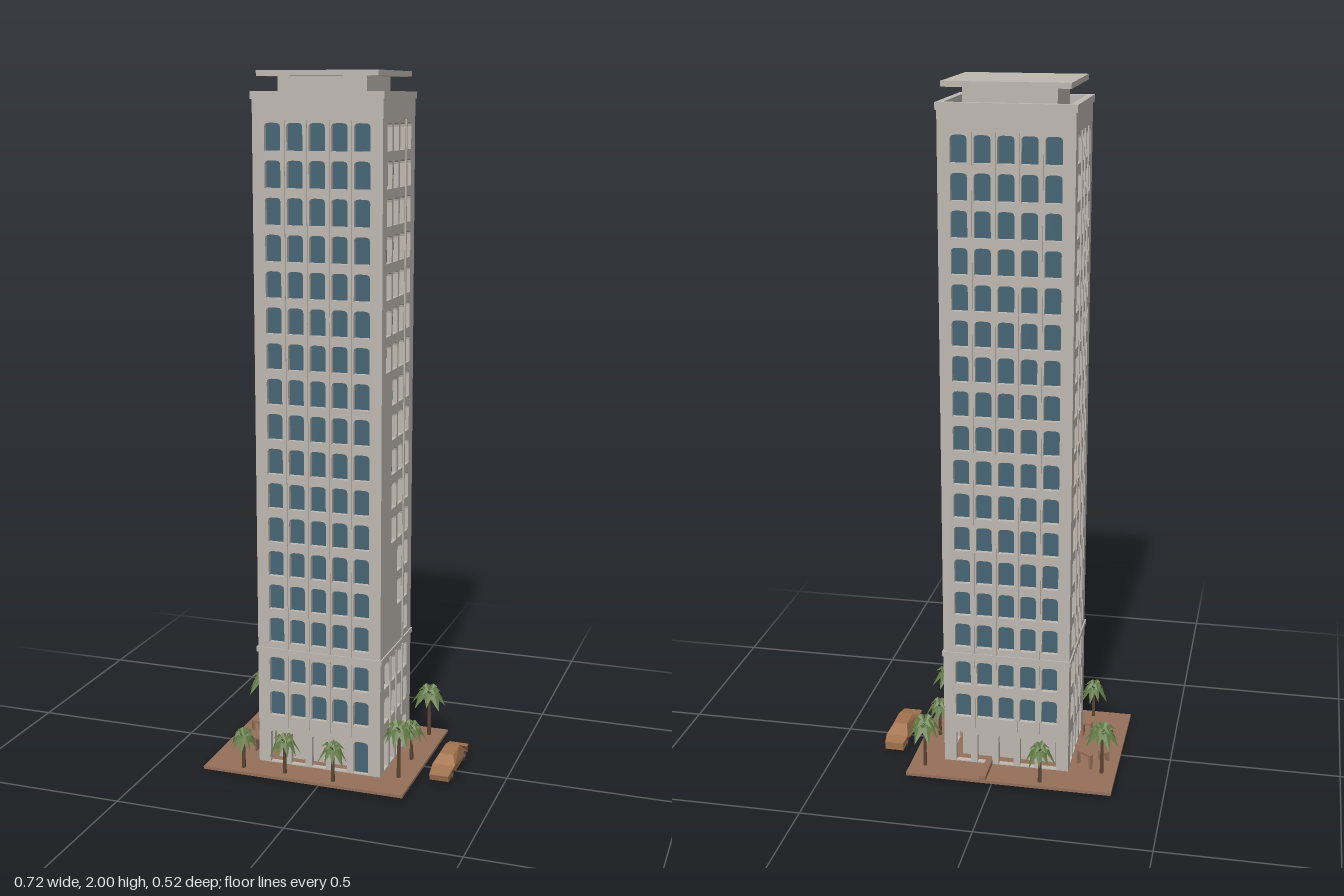
import * as THREE from 'three';
import { mergeGeometries } from 'three/addons/utils/BufferGeometryUtils.js';

const mat = (name, color, extra = {}) => {
  const m = new THREE.MeshStandardMaterial({ color, ...extra });
  m.name = name;
  return m;
};

export function createModel() {
  const model = new THREE.Group();
  model.name = 'tower';
  const stone = mat('stone', 0xbdb7af);
  const glass = mat('glass', 0x466474);
  const earth = mat('earth', 0x94705a);
  const paint = mat('carPaint', 0xa3744f, { flatShading: true });
  const leaf = mat('leaf', 0x627a46, { flatShading: true, side: THREE.DoubleSide });
  const bark = mat('bark', 0x5a4632, { flatShading: true });
  const dark = mat('dark', 0x3a2e26);

  const add = (name, geo, m, parent = model) => {
    const mesh = new THREE.Mesh(geo, m);
    mesh.name = name;
    parent.add(mesh);
    return mesh;
  };
  // box given by its limits
  const box = (name, m, x0, x1, y0, y1, z0, z1, parent) =>
    add(name, new THREE.BoxGeometry(x1 - x0, y1 - y0, z1 - z0)
      .translate((x0 + x1) / 2, (y0 + y1) / 2, (z0 + z1) / 2), m, parent);

  // ground
  box('groundPlate', earth, -0.352, 0.255, 0.006, 0.015, -0.25, 0.237);

  // tower limits
  const X0 = -0.212, X1 = 0.16, Z0 = -0.152, Z1 = 0.146, T = 0.016;
  const cx = (X0 + X1) / 2, cz = (Z0 + Z1) / 2, W = X1 - X0, D = Z1 - Z0;
  const around = (name, m, y0, y1, inset) =>
    box(name, m, X0 + inset, X1 - inset, y0, y1, Z0 + inset, Z1 - inset);

  around('groundFloorCore', stone, 0.015, 0.13, 0.045);
  around('lobbyCeiling', stone, 0.125, 0.14, 0.012);
  around('glassCore', glass, 0.14, 1.89, T - 0.002);
  around('roofDeck', stone, 1.885, 1.915, 0.01);

  // opening with a slightly arched head
  const opening = (x, y0, y1, w) => {
    const p = new THREE.Path(), h = w / 2, r = 0.011;
    p.moveTo(x - h, y0);
    p.lineTo(x + h, y0);
    p.lineTo(x + h, y1 - r);
    p.quadraticCurveTo(x + h, y1, x + h - r * 1.3, y1);
    p.lineTo(x - h + r * 1.3, y1);
    p.quadraticCurveTo(x - h, y1, x - h, y1 - r);
    return p;
  };

  const rows = [0.2, 0.305];
  for (let i = 0; i < 15; i++) rows.push(0.425 + i * 0.1);

  // one pierced wall, facing its own +z
  const facade = (name, width, cols, pitch, x, z, angle, blank = () => false) => {
    const g = new THREE.Group();
    g.name = name;
    const s = new THREE.Shape();
    s.moveTo(-width / 2, 0.012);
    s.lineTo(width / 2, 0.012);
    s.lineTo(width / 2, 1.935);
    s.lineTo(-width / 2, 1.935);
    s.closePath();
    for (let c = 0; c < cols; c++) {
      const u = (c - (cols - 1) / 2) * pitch;
      s.holes.push(opening(u, 0.018, 0.115, 0.044));
      for (const y of rows) {
        if (!blank(c, y)) s.holes.push(opening(u, y - 0.037, y + 0.037, 0.046));
      }
    }
    add('piercedWall', new THREE.ExtrudeGeometry(s, {
      depth: T, bevelEnabled: false, curveSegments: 3 }).translate(0, 0, -T), stone, g);
    // slim ribs on the piers
    for (let c = 1; c < cols; c++) {
      const u = (c - cols / 2) * pitch;
      if (!blank(c - 1, 0.5)) box('rib', stone, u - 0.004, u + 0.004, 0.37, 1.87, -0.002, 0.004, g);
      box('lowerRib', stone, u - 0.004, u + 0.004, 0.13, 0.35, -0.002, 0.004, g);
    }
    g.position.set(x, 0, z);
    g.rotation.y = angle;
    model.add(g);
  };
  const sideW = D - 2 * T;
  facade('frontFacade', W, 5, 0.064, cx, Z1, 0);
  facade('backFacade', W, 5, 0.064, cx, Z0, Math.PI);
  // this side is closed in a stepped area low down
  const closedBelow = [1.2, 0.7, 0.48, 0];
  facade('leftFacade', sideW, 4, 0.059, X1, cz, Math.PI / 2,
    (c, y) => y > 0.36 && y < closedBelow[c]);
  facade('rightFacade', sideW, 4, 0.059, X0, cz, -Math.PI / 2);

  // belt course and cornice rim, hollow in the middle
  const ring = (name, y0, y1, out, depth) => {
    const r = new THREE.Shape(), a = W / 2 + out, b = D / 2 + out;
    const rect = (p, u, v) => {
      p.moveTo(-u, -v); p.lineTo(u, -v); p.lineTo(u, v); p.lineTo(-u, v); p.closePath();
      return p;
    };
    rect(r, a, b);
    r.holes.push(rect(new THREE.Path(), a - depth, b - depth));
    add(name, new THREE.ExtrudeGeometry(r, { depth: y1 - y0, bevelEnabled: false })
      .rotateX(-Math.PI / 2).translate(cx, y0, cz), stone);
  };
  ring('beltCourse', 0.355, 0.37, 0.004, 0.012);
  ring('cornice', 1.925, 1.945, 0.004, 0.02);

  // roof house and its slab
  box('roofHouse', stone, -0.155, 0.1, 1.91, 1.985, -0.108, 0.1);
  box('roofSlab', stone, -0.199, 0.147, 1.985, 2, -0.158, 0.146);

  // ground floor details
  box('door', glass, 0.075, 0.125, 0.015, 0.115, Z1 - 0.02, Z1 - 0.012);
  box('backRamp', earth, 0.015, 0.034, 0.015, 0.03, -0.254, -0.15);

  // palm: tapered trunk under two tiers of folded leaves
  const frond = (len, lift, droop, turn) => {
    const w = len * 0.27;
    const p = [[0, 0, 0], [len * 0.5, lift, 0], [len, droop, 0],
      [len * 0.5, lift - w * 0.6, w], [len * 0.5, lift - w * 0.6, -w]];
    const g = new THREE.BufferGeometry();
    const idx = [0, 3, 1, 1, 3, 2, 0, 1, 4, 1, 2, 4];
    g.setAttribute('position', new THREE.Float32BufferAttribute(idx.flatMap(i => p[i]), 3));
    g.computeVertexNormals();
    return g.rotateY(turn);
  };
  const palm = (x, z, h, r, k) => {
    const g = new THREE.Group();
    g.name = 'palm';
    const y = h - 0.03;
    add('trunk', new THREE.CylinderGeometry(0.004, 0.006, y - 0.012, 6)
      .translate(0, (y + 0.012) / 2, 0), bark, g);
    const fronds = [];
    for (let i = 0; i < 9; i++) {
      const vary = 1 + 0.13 * Math.sin(i * 2.3 + k);
      fronds.push(frond(r * vary, 0.014, -0.03 * vary, i * Math.PI * 2 / 9 + k).translate(0, y, 0));
      if (i < 6) fronds.push(frond(r * 0.75 * vary, 0.026, 0.008, i * Math.PI / 3 + k + 0.3).translate(0, y + 0.003, 0));
    }
    add('crown', mergeGeometries(fronds), leaf, g);
    g.position.set(x, 0, z);
    model.add(g);
  };
  [[-0.31, -0.14, 0.175, 0.052], [-0.14, -0.225, 0.14, 0.042], [0.21, -0.195, 0.175, 0.054],
    [0.21, -0.005, 0.135, 0.042], [0.21, 0.125, 0.185, 0.052], [0.04, 0.212, 0.135, 0.042],
    [-0.11, 0.205, 0.135, 0.043], [-0.237, 0.207, 0.135, 0.042],
  ].forEach(([x, z, h, r], k) => palm(x, z, h, r, k));

  // car: side profile, cabin drawn in towards the roof
  const car = new THREE.Group();
  car.name = 'car';
  const prof = [[-0.115, 0.012], [0.11, 0.012], [0.115, 0.03], [0.06, 0.04], [0.03, 0.06],
    [-0.04, 0.062], [-0.08, 0.042], [-0.116, 0.036]];
  const body = new THREE.ExtrudeGeometry(
    new THREE.Shape(prof.map(p => new THREE.Vector2(...p))), { depth: 0.066, bevelEnabled: false });
  body.translate(0, 0, -0.033);
  const pos = body.attributes.position;
  for (let i = 0; i < pos.count; i++) {
    const narrow = pos.getY(i) > 0.05 ? 0.62 : Math.abs(pos.getX(i)) > 0.1 ? 0.85 : 1;
    pos.setZ(i, pos.getZ(i) * narrow);
  }
  body.computeVertexNormals();
  add('carBody', body.rotateY(-Math.PI / 2), paint, car);
  for (const x of [-0.028, 0.028]) for (const z of [-0.07, 0.07]) {
    add('wheel', new THREE.CylinderGeometry(0.015, 0.015, 0.013, 12)
      .rotateZ(Math.PI / 2).translate(x, 0.015, z), dark, car);
  }
  car.position.set(0.325, 0, -0.005);
  model.add(car);

  // yard furniture beside the right wall
  const bench = (name, x, z, w, d, h, turn) => {
    const g = new THREE.Group();
    g.name = name;
    box('seat', earth, -w / 2, w / 2, h - 0.006, h, -d / 2, d / 2, g);
    for (const s of [-1, 1]) {
      const e = s * (w / 2 - 0.003);
      box('leg', earth, e - 0.003, e + 0.003, 0.012, h, -d / 2, d / 2, g);
    }
    g.position.set(x, 0, z);
    g.rotation.y = turn;
    model.add(g);
  };
  bench('bench', -0.255, -0.11, 0.055, 0.012, 0.06, -0.6);
  bench('stool', -0.307, -0.065, 0.026, 0.022, 0.045, 0.6);
  bench('sideTable', -0.235, 0.08, 0.03, 0.028, 0.06, 0);

  return model;
}
